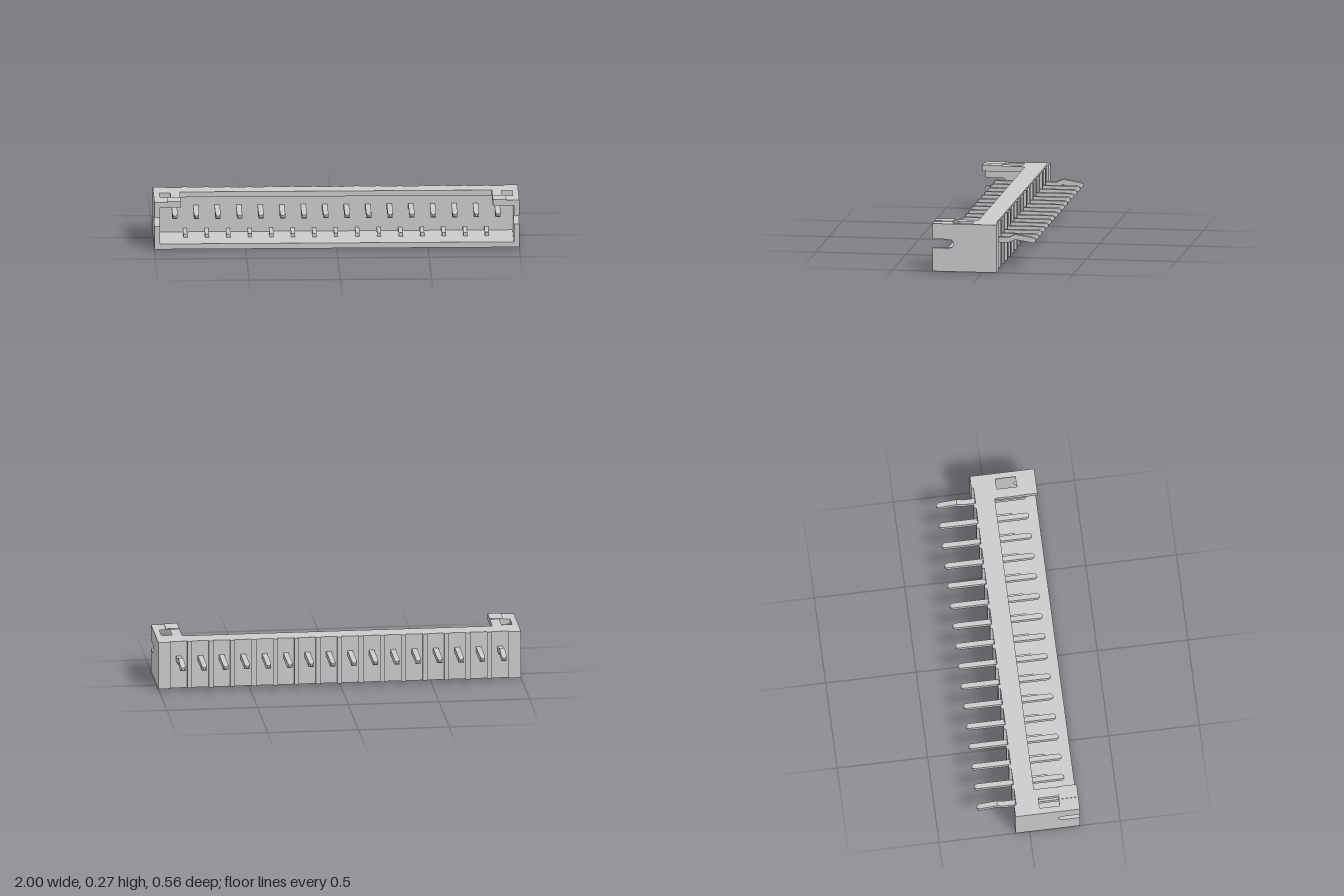
import * as THREE from 'three';

const mat = new THREE.MeshStandardMaterial({ color: 0xcccccc, flatShading: true });
const PITCH = 0.118, PINS = 16;
const FRONT = 0.278, BACK = -0.078, INNER = 0.0, H = 0.265, WALL = 0.03;

function add(group, name, geometry, x = 0, y = 0, z = 0) {
  const mesh = new THREE.Mesh(geometry, mat);
  mesh.name = name;
  mesh.position.set(x, y, z);
  group.add(mesh);
  return mesh;
}

// box given by its min and max corners
function block(group, name, x0, x1, y0, y1, z0, z1) {
  return add(group, name, new THREE.BoxGeometry(x1 - x0, y1 - y0, z1 - z0),
    (x0 + x1) / 2, (y0 + y1) / 2, (z0 + z1) / 2);
}

// plan outline of [x, z] points, extruded upwards
const outline = (pts) => pts.map(([x, z]) => new THREE.Vector2(x, -z));
function planExtrude(pts, height, holes = []) {
  const shape = new THREE.Shape(outline(pts));
  for (const h of holes) shape.holes.push(new THREE.Path(outline(h)));
  return new THREE.ExtrudeGeometry(shape, { depth: height, bevelEnabled: false }).rotateX(-Math.PI / 2);
}

// square bar lofted through [z, y, halfWidth] stations, front to back
function pinGeometry(stations) {
  const pos = [], idx = [];
  for (const [z, y, h] of stations)
    for (const [sx, sy] of [[-1, -1], [1, -1], [1, 1], [-1, 1]]) pos.push(sx * h, y + sy * h, z);
  const last = (stations.length - 1) * 4;
  for (let i = 0; i < last; i += 4)
    for (let j = 0; j < 4; j++) {
      const a = i + j, b = i + (j + 1) % 4;
      idx.push(a, a + 4, b, b, a + 4, b + 4);
    }
  idx.push(0, 1, 2, 0, 2, 3, last, last + 2, last + 1, last, last + 3, last + 2);
  const g = new THREE.BufferGeometry();
  g.setAttribute('position', new THREE.Float32BufferAttribute(pos, 3));
  g.setIndex(idx);
  g.computeVertexNormals();
  return g;
}

export function createModel() {
  const model = new THREE.Group();
  const housing = new THREE.Group();
  housing.name = 'housing';
  model.add(housing);

  // back wall with a shallow recess behind each pin, leaving ribs between them
  const wall = [[-1, INNER], [-1, BACK]];
  const groove = BACK + 0.012;
  for (let i = 0; i < PINS; i++) {
    const x = (i - (PINS - 1) / 2) * PITCH;
    wall.push([x - 0.046, BACK], [x - 0.046, groove], [x + 0.046, groove], [x + 0.046, BACK]);
  }
  wall.push([1, BACK], [1, INNER]);
  add(housing, 'backWall', planExtrude(wall, H));

  // floor
  block(housing, 'floor', -1 + WALL, 1 - WALL, 0, WALL, INNER, FRONT);

  // side walls with a round-ended slot open to the front
  const side = new THREE.Shape();
  side.moveTo(-FRONT, 0);
  side.lineTo(-INNER, 0);
  side.lineTo(-INNER, H);
  side.lineTo(-FRONT, H);
  side.lineTo(-FRONT, 0.179);
  side.lineTo(-0.185, 0.179);
  side.absarc(-0.185, 0.1545, 0.0245, Math.PI / 2, -Math.PI / 2, true);
  side.lineTo(-FRONT, 0.13);
  const sideGeo = new THREE.ExtrudeGeometry(side, { depth: WALL, bevelEnabled: false, curveSegments: 16 })
    .rotateY(Math.PI / 2);
  add(housing, 'leftWall', sideGeo, 1 - WALL);
  add(housing, 'rightWall', sideGeo, -1);

  // roof: back strip with a tab at each end, each tab pierced by a window
  const e = 1 - WALL, t = 0.855, strip = 0.042;
  const window_ = (s) => [[s * 0.908, 0.059], [s * 0.967, 0.059], [s * 0.967, 0.17], [s * 0.908, 0.17]];
  const roof = [[-e, INNER], [e, INNER], [e, FRONT], [t, FRONT], [t, strip], [-t, strip], [-t, FRONT], [-e, FRONT]];
  add(housing, 'roof', planExtrude(roof, WALL, [window_(1), window_(-1)]), 0, H - WALL, 0);

  // thin raised pads on the tab fronts
  for (const s of [-1, 1])
    block(housing, 'tabPad', s * 0.892 - 0.037, s * 0.892 + 0.037, H, H + 0.004, 0.173, FRONT);

  // small ribs on the floor between the pins
  for (let i = 0; i < PINS - 1; i++) {
    const x = (i - (PINS - 2) / 2) * PITCH;
    block(housing, 'floorRib', x - 0.011, x + 0.011, WALL, 0.05, INNER, 0.135);
  }

  // contact pins; the outermost two are kinked behind the housing
  const y = 0.167, r = 0.0145;
  const nose = [[0.22, y, 0.006], [0.207, y, r]];
  const tail = [[-0.265, y, r], [-0.278, y, 0.006]];
  const straight = pinGeometry([...nose, ...tail]);
  const kinked = pinGeometry([...nose, [-0.13, y, r], [-0.165, 0.184, r], ...tail]);
  for (let i = 0; i < PINS; i++) {
    const end = i === 0 || i === PINS - 1;
    add(model, end ? 'kinkedPin' : 'pin', end ? kinked : straight, (i - (PINS - 1) / 2) * PITCH);
  }
  return model;
}
